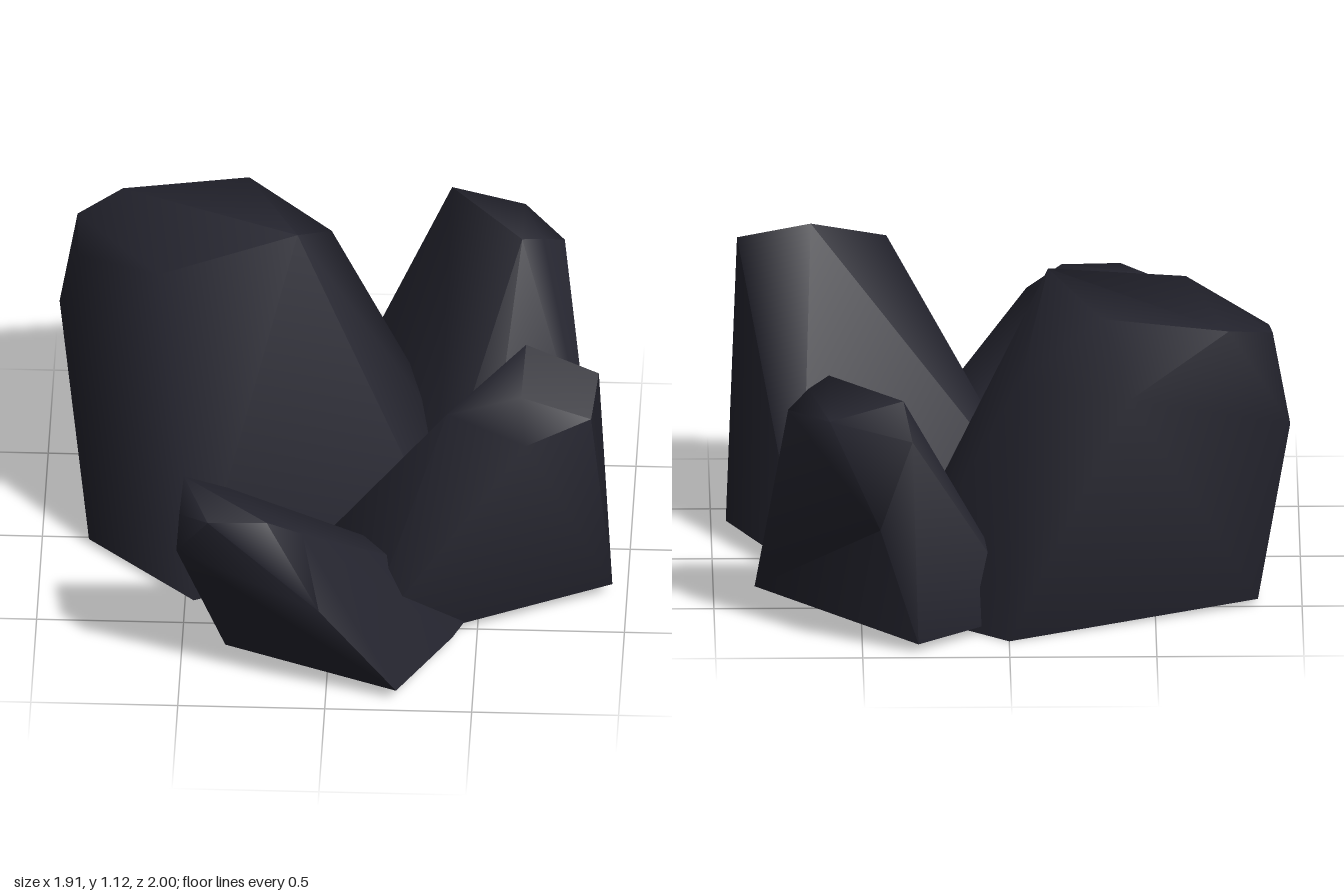
import * as THREE from 'three';
import { ConvexGeometry } from 'three/addons/geometries/ConvexGeometry.js';
import { toCreasedNormals } from 'three/addons/utils/BufferGeometryUtils.js';

// Each rock is a faceted chunk: a footprint on the ground and a leaning crown.
const rocks = {
  largeRock: {
    foot: [[-0.84, 0.02, 0.04], [-0.85, 0.02, -0.48], [0, 0, -0.84], [0.41, 0.01, -0.54], [0.37, 0, -0.14], [0.36, 0.01, -0.03], [-0.47, 0.01, 0.38]],
    crown: [
      [-0.96, 0.65, -0.47], [-0.89, 0.58, -0.09], [-0.89, 0.95, -0.31], [-0.9, 0.99, -0.5],
      [-0.75, 1.03, -0.6], [-0.61, 1.04, -0.07], [-0.14, 1.12, -0.21], [-0.32, 1.08, -0.61],
      [-0.04, 0.86, -0.62], [-0.41, 0.85, -0.79], [0, 0.22, -0.85],
    ],
  },
  frontLeftRock: {
    foot: [[0.95, 0.04, 0.27], [0.1, 0.03, 0.69], [-0.1, 0.03, 0.35], [-0.16, 0.03, 0.23], [0.7, 0.04, -0.24]],
    crown: [
      [0.4, 0.95, 0.6], [0.66, 1.08, 0.36], [0.91, 1.01, 0.42], [0.89, 0.93, 0.58],
      [0.67, 0.88, 0.68], [0.65, 0.985, 0.54],
    ],
  },
  backRock: {
    foot: [[0.86, 0.03, -0.36], [0.5, 0.03, -0.11], [0.33, 0.03, -0.17], [-0.07, 0.03, -0.64], [0.31, 0.03, -0.95]],
    crown: [
      [0.44, 0.46, -1], [0.33, 0.76, -0.95], [0.36, 0.88, -0.87], [0.61, 0.87, -0.58],
      [0.61, 0.81, -0.88], [0.75, 0.79, -0.7], [0.68, 0.84, -0.63],
    ],
  },
  smallRock: {
    foot: [[-0.35, 0.05, 0.7], [0.24, 0.04, 0.94], [0.42, 0.04, 0.61], [0.55, 0.04, 0.27], [-0.17, 0.05, 0.31]],
    crown: [
      [-0.02, 0.4, 1], [-0.51, 0.55, 0.87], [-0.5, 0.7, 0.87], [-0.49, 0.76, 0.73], [-0.34, 0.71, 0.72],
      [-0.2, 0.61, 0.7], [-0.4, 0.72, 0.95], [-0.2, 0.72, 0.94], [-0.08, 0.65, 0.9],
    ],
  },
};

// Hull of the points, left open underneath
function rockShell(foot, crown) {
  const hull = new ConvexGeometry([...foot, ...crown].map((p) => new THREE.Vector3(...p)));
  const p = hull.attributes.position;
  const walls = [];
  for (let i = 0; i < p.count; i += 3) {
    if (Math.max(p.getY(i), p.getY(i + 1), p.getY(i + 2)) < 0.06) continue;
    for (let k = i; k < i + 3; k++) walls.push(p.getX(k), p.getY(k), p.getZ(k));
  }
  const shell = new THREE.BufferGeometry();
  shell.setAttribute('position', new THREE.Float32BufferAttribute(walls, 3));
  return toCreasedNormals(shell, 1.3); // soft shading, sharp only at steep edges
}

export function createModel() {
  const group = new THREE.Group();
  group.name = 'rockCluster';
  const stone = new THREE.MeshStandardMaterial({ color: 0x23232d, side: THREE.DoubleSide });
  stone.name = 'dark stone';

  for (const [name, { foot, crown }] of Object.entries(rocks)) {
    const rock = new THREE.Mesh(rockShell(foot, crown), stone);
    rock.name = name;
    group.add(rock);
  }
  return group;
}
